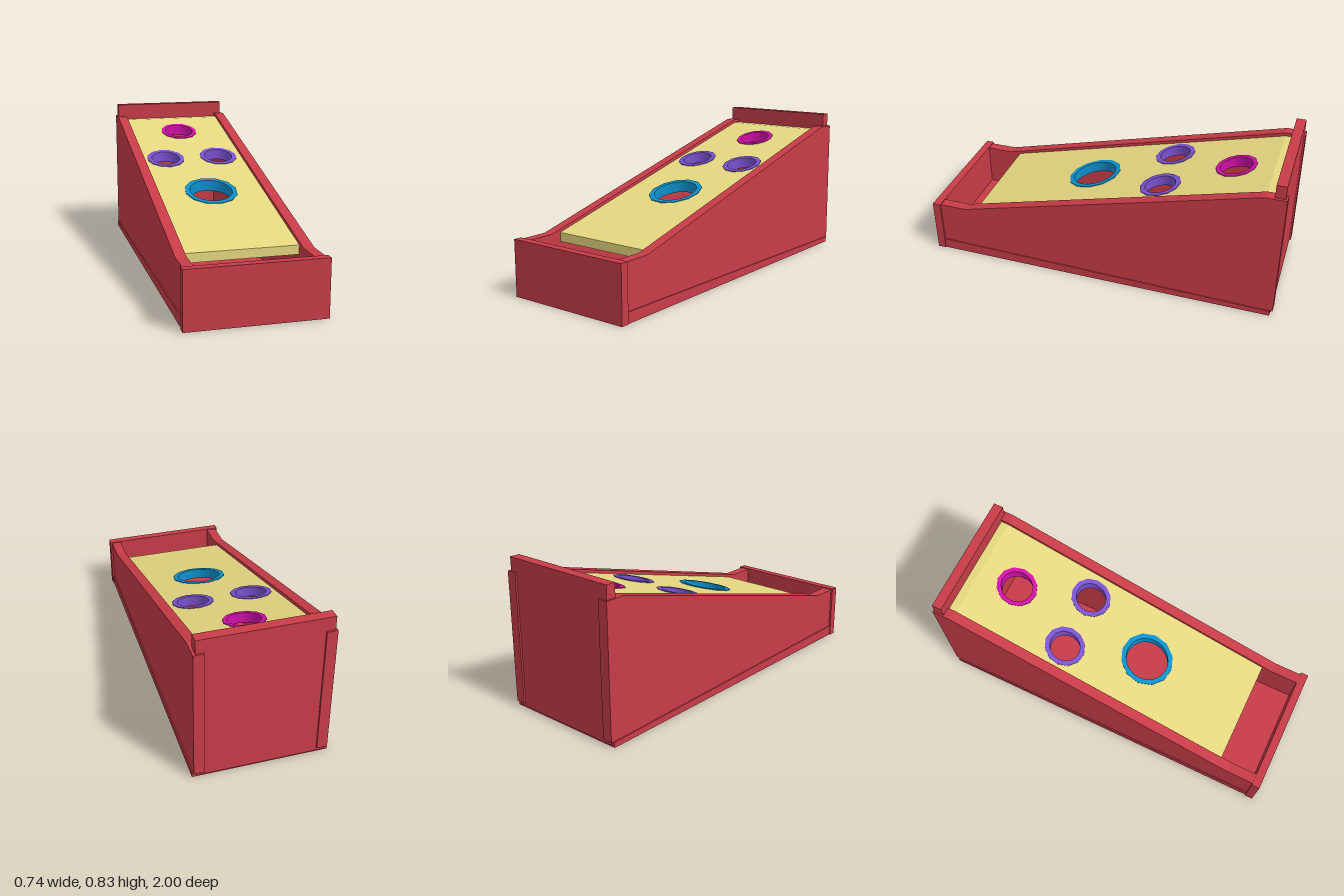
import * as THREE from 'three';
import { toCreasedNormals } from 'three/addons/utils/BufferGeometryUtils.js';

const RED = 0xc83c48, YELLOW = 0xe6d880, BLUE = 0x0d90cc, PURPLE = 0x7a52d0, PINK = 0xd010a8;

// Height of the sloping deck at a given z
const deckHeight = z => 0.5 - 0.265 * z;

function addMesh(group, name, geometry, color) {
  const mesh = new THREE.Mesh(geometry, new THREE.MeshStandardMaterial({ color }));
  mesh.name = name;
  group.add(mesh);
  return mesh;
}

function addBox(group, name, color, [x0, x1], [y0, y1], [z0, z1]) {
  const mesh = addMesh(group, name, new THREE.BoxGeometry(x1 - x0, y1 - y0, z1 - z0), color);
  mesh.position.set((x0 + x1) / 2, (y0 + y1) / 2, (z0 + z1) / 2);
}

// Side profile given as [z, y] points, extruded across x
function profileGeometry(points, x0, x1) {
  const shape = new THREE.Shape(points.map(p => new THREE.Vector2(...p)));
  const geometry = new THREE.ExtrudeGeometry(shape, { depth: x1 - x0, bevelEnabled: false });
  return geometry.rotateY(-Math.PI / 2).translate(x1, 0, 0);
}

// Plan shape (x, -z) extruded upward, then sheared to follow the deck slope
function slopedGeometry(shape, depth, lift) {
  const geometry = new THREE.ExtrudeGeometry(shape, { depth, bevelEnabled: false, curveSegments: 32 });
  geometry.rotateX(-Math.PI / 2);
  const p = geometry.attributes.position;
  for (let i = 0; i < p.count; i++) {
    p.setY(i, p.getY(i) + deckHeight(p.getZ(i)) - depth + lift);
  }
  geometry.computeVertexNormals();
  return toCreasedNormals(geometry, 0.35);
}

function circlePath(x, z, r) {
  return new THREE.Path().absarc(x, -z, r, 0, Math.PI * 2, true);
}

export function createModel() {
  const model = new THREE.Group();
  model.name = 'tossGameRamp';

  // Base and end panels
  addMesh(model, 'base', profileGeometry(
    [[0.99, 0], [0.99, 0.06], [-0.985, 0.03], [-0.985, 0]], -0.363, 0.363), RED);
  addBox(model, 'frontPanel', RED, [-0.368, 0.368], [0, 0.31], [0.955, 1]);
  addBox(model, 'backPanel', RED, [-0.348, 0.343], [0.01, 0.83], [-0.99, -0.935]);

  // Sloping side walls
  const wall = [[0.97, 0.05], [0.97, 0.305], [0.8, 0.305], [-0.89, 0.755], [-1, 0.755], [-1, 0.03]];
  for (const [name, x0, x1] of [['leftWall', 0.3, 0.357], ['rightWall', -0.357, -0.3]]) {
    addMesh(model, name, profileGeometry(wall, x0, x1), RED);
  }

  // Target holes: x, z, inner radius, outer radius, colour
  const targets = [
    ['frontRing', 0, 0.13, 0.119, 0.149, BLUE],
    ['rightRing', -0.168, -0.3, 0.083, 0.112, PURPLE],
    ['leftRing', 0.158, -0.3, 0.083, 0.112, PURPLE],
    ['backRing', 0, -0.68, 0.086, 0.112, PINK],
  ];

  // Deck with openings, plus its short level end
  const deck = new THREE.Shape([[-0.302, -0.74], [0.302, -0.74], [0.302, 0.89], [-0.302, 0.89]]
    .map(p => new THREE.Vector2(...p)));
  for (const [, x, z, inner] of targets) deck.holes.push(circlePath(x, z, inner + 0.008));
  addMesh(model, 'deck', slopedGeometry(deck, 0.05, 0), YELLOW);
  const top = deckHeight(-0.89);
  addBox(model, 'deckEnd', YELLOW, [-0.302, 0.302], [top - 0.05, top], [-0.94, -0.89]);

  // Faceted rims lining the openings
  for (const [name, x, z, inner, outer, color] of targets) {
    const corners = [];
    for (let i = 0; i < 12; i++) {
      const a = (i + 0.2) / 12 * Math.PI * 2;
      corners.push(new THREE.Vector2(x + outer * Math.cos(a), -z + outer * Math.sin(a)));
    }
    const rim = new THREE.Shape(corners);
    rim.holes.push(circlePath(x, z, inner));
    addMesh(model, name, slopedGeometry(rim, 0.06, 0.004), color);
  }

  return model;
}
